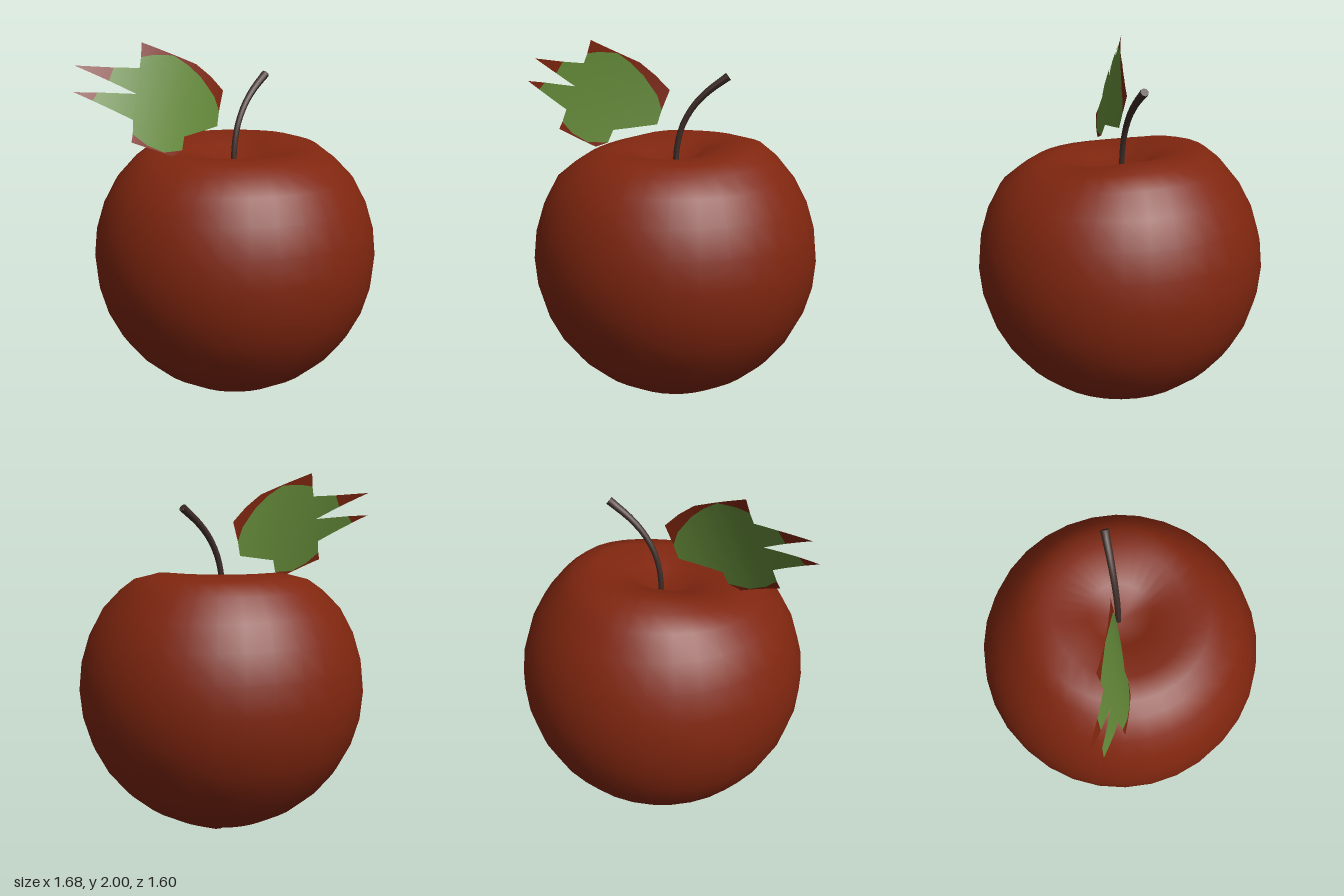
import * as THREE from 'three';
import { mergeVertices } from 'three/addons/utils/BufferGeometryUtils.js';

const red = new THREE.MeshStandardMaterial({ color: 0x80260f, side: THREE.DoubleSide });
red.name = 'apple red';
const green = new THREE.MeshStandardMaterial({ color: 0x668c3a, side: THREE.DoubleSide });
green.name = 'leaf green';
const brown = new THREE.MeshStandardMaterial({ color: 0x3f2d28 });
brown.name = 'stem brown';

function named(name, geometry, material) {
  const mesh = new THREE.Mesh(geometry, material);
  mesh.name = name;
  return mesh;
}

// Body: a sphere whose top rings sink into a lopsided dip and whose base is puckered
function bodyGeometry() {
  const R = 0.8, CY = 0.81, rows = 16, cols = 32;
  // per top ring: radius, height at the high side, height at the low side
  const top = [[0, 1.29, 1.29], [0.17, 1.41, 1.36], [0.365, 1.47, 1.405], [0.485, 1.44, 1.385], [0.566, 1.375, 1.335]];
  let g = new THREE.SphereGeometry(1, cols, rows);
  const p = g.attributes.position;
  for (let i = 0; i < p.count; i++) {
    const row = Math.floor(i / (cols + 1));
    const phi = ((i % (cols + 1)) % cols) / cols * Math.PI * 2;
    const cx = Math.cos(phi), cz = -Math.sin(phi);
    const theta = row / rows * Math.PI;
    let r = R * Math.sin(theta), y = CY + R * Math.cos(theta);
    if (row < top.length) {
      const [radius, high, low] = top[row];
      r = radius;
      y = THREE.MathUtils.lerp(low, high, THREE.MathUtils.smoothstep((cx - cz) / Math.SQRT2, -0.7, 0.7));
    } else if (row === rows - 1) {
      r = 0.15;
      y = 0.02 + 0.018 * Math.cos(5 * phi);
    } else if (row === rows) {
      r = 0;
      y = 0.06;
    }
    p.setXYZ(i, 0.045 + r * cx, y, r * cz);
  }
  // the rings run the other way round from the sphere's own, so flip the faces
  const index = g.index.array;
  for (let i = 0; i < index.length; i += 3) [index[i], index[i + 1]] = [index[i + 1], index[i]];
  g.deleteAttribute('normal');
  g.deleteAttribute('uv');
  g = mergeVertices(g);
  g.computeVertexNormals();
  // outward check keeps the winding right
  const n = g.attributes.normal, q = g.attributes.position;
  let sum = 0;
  for (let i = 0; i < q.count; i++) sum += (q.getX(i) - 0.045) * n.getX(i) + q.getZ(i) * n.getZ(i);
  if (sum < 0) {
    const a = g.index.array;
    for (let i = 0; i < a.length; i += 3) [a[i], a[i + 1]] = [a[i + 1], a[i]];
    g.computeVertexNormals();
  }
  return g;
}

// Stem: a bent tube that flares towards its cut end
function stemParts() {
  const path = new THREE.CatmullRomCurve3(
    [[0.045, 1.27], [0.052, 1.41], [0.08, 1.53], [0.14, 1.64], [0.22, 1.725], [0.335, 1.81]]
      .map(([x, y]) => new THREE.Vector3(x, y, -0.01)));
  const steps = 14, sides = 8;
  const g = new THREE.TubeGeometry(path, steps, 0.016, sides);
  const p = g.attributes.position, v = new THREE.Vector3();
  for (let i = 0; i < p.count; i++) {
    const t = Math.floor(i / (sides + 1)) / steps;
    const c = path.getPointAt(t);
    v.fromBufferAttribute(p, i).sub(c).multiplyScalar(1 + 0.45 * t * t * t).add(c);
    p.setXYZ(i, v.x, v.y, v.z);
  }
  g.computeVertexNormals();
  const cap = named('stemEnd', new THREE.CircleGeometry(0.023, sides), brown);
  cap.position.copy(path.getPointAt(1));
  cap.lookAt(cap.position.clone().add(path.getTangentAt(1)));
  return [named('stem', g, brown), cap];
}

// Leaf surface: gently curled sheet over the x, y outline
const leafZ = (x, y) => -0.035 - 0.25 * x * x + (-0.1 + 0.4 * x) * (y - 1.5);

function leafGeometry(outline) {
  const pts = outline.map(([x, y]) => new THREE.Vector2(x, y));
  if (THREE.ShapeUtils.isClockWise(pts)) pts.reverse();
  let tris = THREE.ShapeUtils.triangulateShape(pts, []).map(f => f.map(i => pts[i]));
  const mid = (a, b) => a.clone().add(b).multiplyScalar(0.5);
  for (let k = 0; k < 3; k++) {
    tris = tris.flatMap(([a, b, c]) => {
      const ab = mid(a, b), bc = mid(b, c), ca = mid(c, a);
      return [[a, ab, ca], [ab, b, bc], [ca, bc, c], [ab, bc, ca]];
    });
  }
  const verts = tris.flat().flatMap(v => [v.x, v.y, leafZ(v.x, v.y)]);
  let g = new THREE.BufferGeometry();
  g.setAttribute('position', new THREE.Float32BufferAttribute(verts, 3));
  g = mergeVertices(g);
  g.computeVertexNormals();
  return g;
}

export function createModel() {
  const model = new THREE.Group();
  model.name = 'apple';
  model.add(named('appleBody', bodyGeometry(), red), ...stemParts());

  const leaf = new THREE.Group();
  leaf.name = 'leaf';
  leaf.add(named('leafBlade', leafGeometry([
    [-0.47, 1.925], [-0.4, 1.935], [-0.29, 1.93], [-0.21, 1.875], [-0.14, 1.81], [-0.06, 1.7], [-0.035, 1.62],
    [-0.06, 1.54], [-0.31, 1.505], [-0.34, 1.435], [-0.46, 1.435], [-0.55, 1.48], [-0.612, 1.54],
    [-0.59, 1.61], [-0.765, 1.715], [-0.73, 1.755], [-0.54, 1.74], [-0.66, 1.81], [-0.62, 1.876], [-0.49, 1.87],
  ]), green));
  // Withered edges and tips
  const tips = [
    [[-0.45, 2], [-0.16, 1.88], [-0.07, 1.81], [0.01, 1.73], [-0.035, 1.62], [-0.06, 1.7], [-0.14, 1.81],
      [-0.21, 1.875], [-0.29, 1.93], [-0.4, 1.935], [-0.47, 1.925]],
    [[-0.8, 1.89], [-0.62, 1.876], [-0.66, 1.81]],
    [[-0.84, 1.76], [-0.73, 1.755], [-0.765, 1.715]],
    [[-0.63, 1.5], [-0.612, 1.54], [-0.55, 1.48], [-0.46, 1.435], [-0.34, 1.435], [-0.41, 1.41]],
  ];
  tips.forEach((t, i) => leaf.add(named('leafTip' + (i + 1), leafGeometry(t), red)));
  model.add(leaf);
  return model;
}
